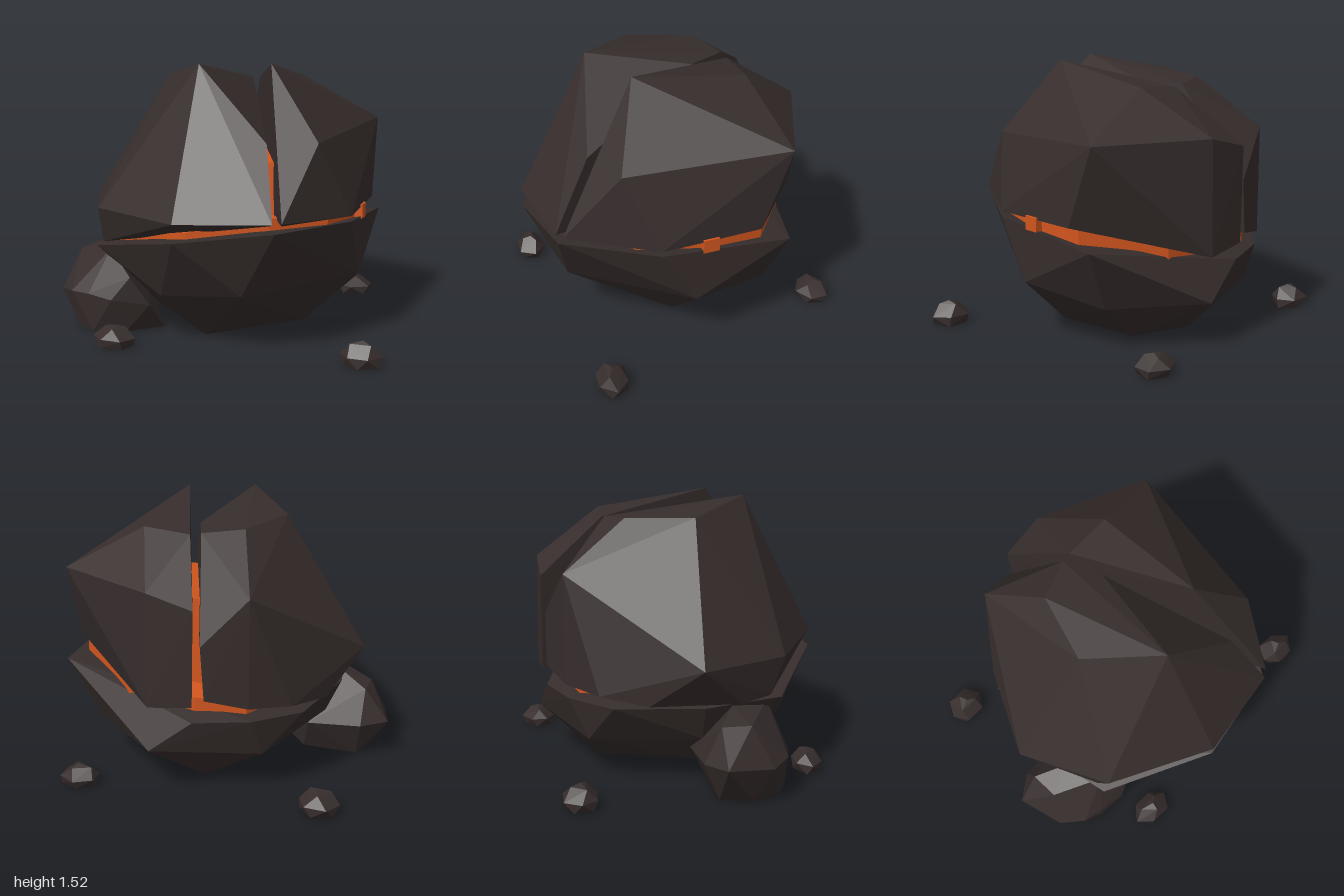
import * as THREE from 'three';
import { ConvexGeometry } from 'three/addons/geometries/ConvexGeometry.js';

const rock = new THREE.MeshStandardMaterial({ color: 0x362d2c });
rock.name = 'charred rock';
const ember = new THREE.MeshStandardMaterial({ color: 0xd1551e });
ember.name = 'molten orange';

// Faceted solid wrapped round a few corner points
function chunk(name, material, points) {
  const mesh = new THREE.Mesh(new ConvexGeometry(points.map(p => new THREE.Vector3(...p))), material);
  mesh.name = name;
  return mesh;
}

// Small stone: a wide foot, a slightly wider waist and a blunt top
function pebble(x, z, rx, rz, h, turn) {
  const points = [];
  const rings = [[5, 0.88, 0, 0.3], [6, 1, 0.42, 0], [3, 0.55, 0.88, 0.5]];
  for (const [n, r, y, shift] of rings) {
    for (let i = 0; i < n; i++) {
      const a = turn + shift + (i / n) * Math.PI * 2;
      const wobble = 1 - 0.16 * Math.abs(Math.sin(i * 2.3 + turn));
      points.push([x + Math.cos(a) * rx * r * wobble, y * h, z + Math.sin(a) * rz * r * wobble]);
    }
  }
  points.push([x + rx * 0.1, h, z]);
  return chunk('pebble', rock, points);
}

export function createModel() {
  const model = new THREE.Group();
  model.name = 'crackedRock';

  // Lower half, a bowl whose rim rises to one side
  model.add(chunk('lowerRock', rock, [
    [-0.65, 0.5, 0.53], [-0.07, 0.62, 0.84], [0.46, 0.69, 0.76], [0.745, 0.68, 0.27],
    [0.75, 0.62, -0.47], [-0.12, 0.46, -0.71], [-0.42, 0.47, -0.6],
    [-0.64, 0.47, -0.38], [-0.73, 0.48, 0.1],
    [0.745, 0.34, 0.07], [0.25, 0.32, 0.67], [-0.23, 0.27, 0.62], [0.12, 0.27, -0.75],
    [0.58, 0.26, -0.4], [-0.45, 0.24, -0.5], [-0.64, 0.28, 0.1],
    [-0.05, 0, 0.4], [0.33, 0, 0.02], [0.27, 0, -0.3], [-0.07, 0, -0.41],
    [0.44, 0.05, 0.1], [-0.42, 0.07, 0.16],
  ]));

  // Upper half, left of the crack
  model.add(chunk('upperRockA', rock, [
    [-0.07, 1.52, 0.43], [-0.38, 1.44, 0.1], [-0.26, 1.43, -0.27],
    [0.05, 1.41, -0.15], [-0.04, 1.41, -0.36], [-0.11, 1.12, -0.54], [0.35, 1.12, 0.55],
    [-0.41, 1.16, -0.62], [-0.17, 0.9, -0.71],
    [-0.86, 0.72, 0.07], [-0.63, 0.72, 0.55], [-0.07, 0.72, 0.84], [0.45, 0.74, 0.77],
    [-0.71, 0.49, 0.3], [-0.64, 0.51, 0.47], [0.42, 0.725, 0.73],
    [-0.72, 0.5, -0.2], [-0.6, 0.53, -0.45], [-0.41, 0.55, -0.62], [-0.19, 0.6, -0.71],
  ]));

  // Upper half, right of the crack
  model.add(chunk('upperRockB', rock, [
    [0.29, 1.52, 0.28], [0.02, 1.4, -0.37], [0.29, 1.42, -0.37], [0.73, 1.17, -0.47],
    [0.12, 1.17, -0.74], [-0.14, 1.1, -0.73], [0.6, 1.12, 0.44],
    [0.49, 0.74, 0.74], [0.745, 0.71, 0.27], [0.74, 0.72, -0.3],
    [0.12, 0.53, -0.75], [-0.13, 0.56, -0.73], [0.45, 0.7, 0.6],
  ]));

  // Molten layer between the halves
  const layer = [
    [-0.58, 0.55, 0.44], [-0.05, 0.65, 0.7], [0.37, 0.73, 0.57], [0.64, 0.72, 0.38],
    [0.72, 0.73, 0], [0.69, 0.71, -0.32], [0.3, 0.6, -0.6], [-0.1, 0.57, -0.62],
    [-0.37, 0.55, -0.54], [-0.6, 0.5, -0.1],
  ];
  const lava = new THREE.Group();
  lava.name = 'moltenCore';
  lava.add(chunk('moltenLayer', ember, layer.flatMap(([x, y, z]) => [[x, y, z], [x, y - 0.1, z]])));
  lava.add(chunk('moltenBulge', ember, [-0.05, 0.04].flatMap(z =>
    [[0.6, 0.64, z], [0.755, 0.65, z], [0.755, 0.73, z], [0.6, 0.73, z]])));

  // Molten wall down the crack
  const crackX = z => 0.147 + 0.43 * z;
  lava.add(chunk('moltenWall', ember, [[-0.48, 1.08], [0.4, 1.0]].flatMap(([z, top]) =>
    [-0.036, 0.036].flatMap(d => [[crackX(z) + d, 0.5, z], [crackX(z) + d, top, z]]))));
  model.add(lava);

  // Boulder leaning on the side
  model.add(chunk('boulder', rock, [
    [-1, 0.23, 0.17], [-0.86, 0.42, 0.16], [-0.86, 0.42, 0.32], [-0.7, 0.48, 0.25], [-0.6, 0.47, 0.46],
    [-0.93, 0.2, 0.43], [-0.82, 0.22, 0.53], [-0.7, 0.22, 0.56], [-0.55, 0.2, 0.58],
    [-0.45, 0.33, 0.54], [-0.35, 0.17, 0.5], [-0.33, 0, 0.34], [-0.5, 0, 0.5], [-0.68, 0, 0.55],
    [-0.8, 0, 0.48], [-0.87, 0, 0.34], [-0.92, 0.1, 0.28], [-0.82, 0, 0.16], [-0.86, 0.22, 0.07],
    [-0.55, 0.2, 0.05], [-0.5, 0, 0.15],
  ]));

  // Scattered pebbles: x, z, half widths, height, turn
  for (const p of [
    [0.88, 0.61, 0.125, 0.105, 0.135, 0], [0.545, -0.75, 0.13, 0.11, 0.115, 0.5],
    [-0.45, 0.74, 0.13, 0.1, 0.12, 3.1], [-0.8, -0.57, 0.135, 0.115, 0.13, 2.1],
  ]) model.add(pebble(...p));

  return model;
}
